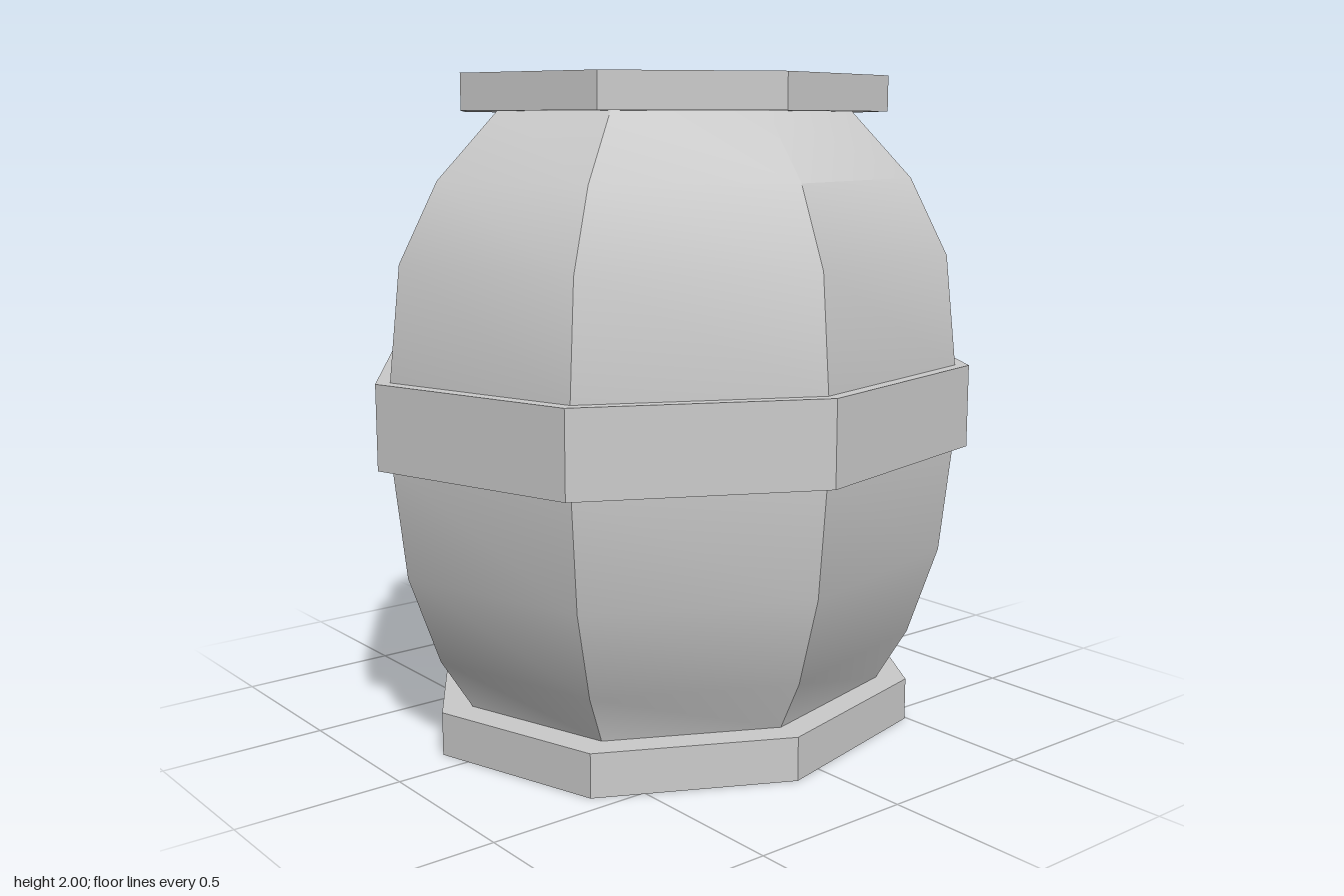
import * as THREE from 'three';
import { toCreasedNormals } from 'three/addons/utils/BufferGeometryUtils.js';

const SIDES = 8;
const TWIST = THREE.MathUtils.degToRad(7.5); // first corner, measured from +x towards +z
const SQUASH = 0.888; // the barrel is slightly oval: depth / width
const CORNER = Math.cos(TWIST); // profile widths are given at the widest corner

const material = new THREE.MeshStandardMaterial({ color: 0xcccccc });

function addMesh(group, name, geometry) {
  const mesh = new THREE.Mesh(toCreasedNormals(geometry, 0.55), material);
  mesh.name = name;
  group.add(mesh);
}

// Eight-sided oval solid from a [width, height] profile
function octagonal(profile) {
  const points = profile.map(([x, y]) => new THREE.Vector2(x / CORNER, y));
  return new THREE.LatheGeometry(points, SIDES, Math.PI / 2 - TWIST).scale(1, 1, SQUASH);
}

function ring(inner, outer, y0, y1) {
  return octagonal([[inner, y0], [outer, y0], [outer, y1], [inner, y1], [inner, y0]]);
}

// Board joining two opposite sides of an octagonal recess
function plank(width, y0, y1) {
  const r = width / CORNER;
  const corners = [0, 1, 4, 5].map((i) => {
    const a = TWIST + (i * Math.PI * 2) / SIDES;
    return new THREE.Vector2(r * Math.cos(a), -r * SQUASH * Math.sin(a));
  });
  return new THREE.ExtrudeGeometry(new THREE.Shape(corners), { depth: y1 - y0, bevelEnabled: false })
    .rotateX(-Math.PI / 2)
    .translate(0, y0, 0);
}

export function createModel() {
  const barrel = new THREE.Group();
  barrel.name = 'barrel';

  // Bulging staves, closed by recessed ends
  addMesh(barrel, 'body', octagonal([
    [0, 0.1], [0.695, 0.1], [0.7, 0.13], [0.8, 0.29], [0.895, 0.56], [0.932, 0.89],
    [0.932, 1.135], [0.895, 1.47], [0.775, 1.7], [0.58, 1.9], [0, 1.9],
  ]));

  // Hoops
  addMesh(barrel, 'bottomRim', ring(0.69, 0.8, 0, 0.132));
  addMesh(barrel, 'middleBand', ring(0.92, 0.976, 0.888, 1.138));
  addMesh(barrel, 'topRim', ring(0.58, 0.697, 1.895, 2));

  // Raised boards across both ends
  addMesh(barrel, 'topPlank', plank(0.579, 1.89, 1.955));
  addMesh(barrel, 'bottomPlank', plank(0.689, 0.04, 0.11));

  return barrel;
}
